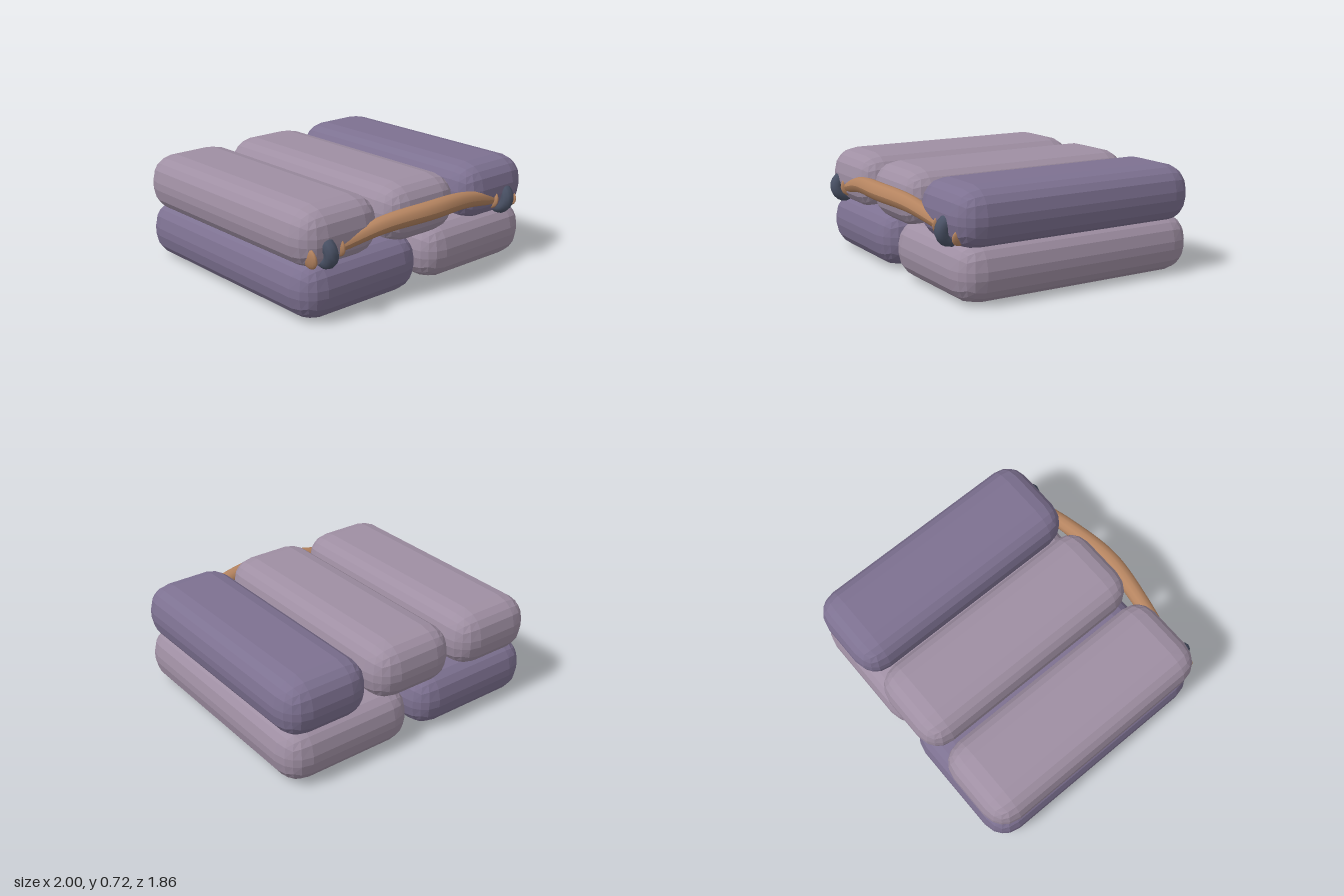
import * as THREE from 'three';
import { RoundedBoxGeometry } from 'three/addons/geometries/RoundedBoxGeometry.js';

const light = new THREE.MeshStandardMaterial({ color: 0x9f8fa3, flatShading: true });
const dark = new THREE.MeshStandardMaterial({ color: 0x7d7191, flatShading: true });
const wood = new THREE.MeshStandardMaterial({ color: 0xb58460 });
const rubber = new THREE.MeshStandardMaterial({ color: 0x4a5266 });

export function createModel() {
  const model = new THREE.Group();

  const add = (name, geometry, material, x, y, z) => {
    const mesh = new THREE.Mesh(geometry, material);
    mesh.name = name;
    mesh.position.set(x, y, z);
    model.add(mesh);
    return mesh;
  };

  // Pillow-like blocks: three on top, two below
  const block = (name, width, x, y, material) =>
    add(name, new RoundedBoxGeometry(width, 0.394, 1.766, 2, 0.17), material, x, y, -0.05);
  block('topBlockRight', 0.64, -0.68, 0.526, light);
  block('topBlockMiddle', 0.64, 0, 0.526, light);
  block('topBlockLeft', 0.64, 0.68, 0.526, dark);
  block('bottomBlockRight', 0.98, -0.51, 0.195, dark);
  block('bottomBlockLeft', 0.98, 0.51, 0.195, light);

  // Bowed handle bar, thickest in the middle
  const path = new THREE.CatmullRomCurve3([
    [-0.73, 0.46, 0.785], [-0.4, 0.53, 0.83], [-0.03, 0.55, 0.87], [0.34, 0.53, 0.83], [0.67, 0.46, 0.785],
  ].map((p) => new THREE.Vector3(...p)));
  const rows = 32, sides = 12;
  const bar = new THREE.TubeGeometry(path, rows, 0.062, sides);
  const pos = bar.attributes.position;
  const v = new THREE.Vector3();
  for (let i = 0; i < pos.count; i++) {
    const t = Math.floor(i / (sides + 1)) / rows;
    const centre = path.getPointAt(t);
    v.fromBufferAttribute(pos, i).sub(centre).multiplyScalar(0.68 + 0.32 * Math.sin(Math.PI * t)).add(centre);
    pos.setXYZ(i, v.x, v.y, v.z);
  }
  bar.computeVertexNormals();
  add('handleBar', bar, wood, 0, 0, 0);

  // Collars, dark rings and end discs on both ends of the bar
  const disc = (name, x, y, z, radius, tilt) => {
    const mesh = add(name, new THREE.SphereGeometry(radius, 16, 10), wood, x, y, z);
    mesh.scale.x = 0.3;
    mesh.rotation.z = tilt;
  };
  for (const s of [-1, 1]) {
    const side = s < 0 ? 'Right' : 'Left';
    disc('collar' + side, -0.03 + s * 0.69, 0.463, 0.787, 0.066, -s * 0.1);
    const ring = add('ring' + side, new THREE.TorusGeometry(0.064, 0.047, 10, 20).rotateY(Math.PI / 2),
      rubber, -0.03 + s * 0.79, 0.45, 0.777);
    ring.rotation.z = -s * 0.13;
  }
  disc('endDiscRight', -0.925, 0.43, 0.765, 0.07, 0.13);
  disc('endDiscLeft', 0.87, 0.42, 0.785, 0.05, -0.13);

  return model;
}
